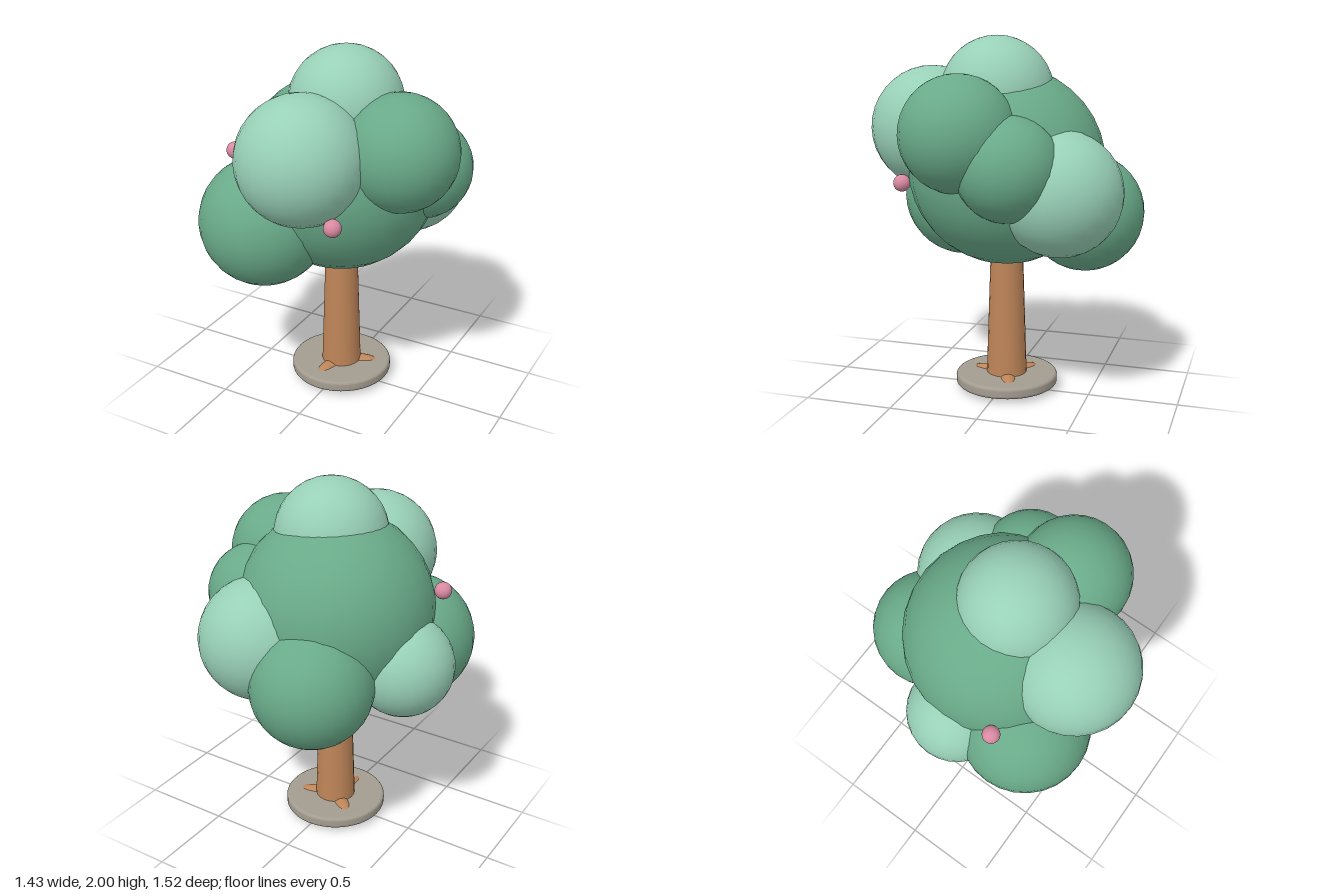
import * as THREE from 'three';

const mat = (name, color) => {
  const m = new THREE.MeshStandardMaterial({ color });
  m.name = name;
  return m;
};

export function createModel() {
  const tree = new THREE.Group();
  tree.name = 'tree';

  const green = mat('leafGreen', 0x69aa89);
  const mint = mat('mintGreen', 0x98d0b7);
  const bark = mat('barkBrown', 0xbe8558);
  const stone = mat('stoneGrey', 0xa39c90);
  const pink = mat('blossomPink', 0xd98aa2);

  const add = (name, geometry, material, x, y, z) => {
    const mesh = new THREE.Mesh(geometry, material);
    mesh.name = name;
    mesh.position.set(x, y, z);
    tree.add(mesh);
    return mesh;
  };
  const ball = (name, r, material, x, y, z) =>
    add(name, new THREE.SphereGeometry(r, 28, 18), material, x, y, z);

  // Trunk axis, slightly off the centre of the whole tree
  const cx = -0.01, cz = -0.015;

  // Round base with softened rims
  const rim = 0.018, R = 0.29, y0 = 0.025, y1 = 0.09;
  const profile = [new THREE.Vector2(0, y0)];
  for (let i = 0; i <= 4; i++) {
    const a = -Math.PI / 2 + (i / 4) * Math.PI / 2;
    profile.push(new THREE.Vector2(R - rim + rim * Math.cos(a), y0 + rim + rim * Math.sin(a)));
  }
  for (let i = 0; i <= 4; i++) {
    const a = (i / 4) * Math.PI / 2;
    profile.push(new THREE.Vector2(R - rim + rim * Math.cos(a), y1 - rim + rim * Math.sin(a)));
  }
  profile.push(new THREE.Vector2(0, y1));
  add('base', new THREE.LatheGeometry(profile, 40), stone, cx, 0, cz);

  // Tapered trunk
  add('trunk', new THREE.CylinderGeometry(0.088, 0.116, 0.85, 20), bark, cx, 0.475, cz);

  // Three flattened roots spreading through the base
  for (let i = 0; i < 3; i++) {
    const a = THREE.MathUtils.degToRad(-20 + i * 120);
    const root = ball('root', 1, bark, cx + 0.11 * Math.cos(a), 0.054, cz + 0.11 * Math.sin(a));
    root.scale.set(0.125, 0.054, 0.052);
    root.rotation.y = -a;
  }

  // Crown and its leaf clumps
  ball('crown', 0.545, green, cx, 1.29, cz);
  ball('topClump', 0.31, mint, 0.04, 1.69, 0.025);
  ball('frontClump', 0.343, mint, -0.01, 1.488, 0.417);
  ball('leftClump', 0.31, green, 0.405, 1.507, 0.125);
  ball('leftBackClump', 0.277, green, 0.41, 1.338, -0.145);
  ball('backLeftClump', 0.336, mint, 0.23, 1.193, -0.375);
  ball('backClump', 0.33, green, -0.13, 1.03, -0.433);
  ball('rightFrontClump', 0.357, green, -0.3, 1.06, 0.325);
  ball('rightClump', 0.278, mint, -0.44, 1.06, -0.02);

  // Blossoms
  ball('rightBlossom', 0.047, pink, -0.515, 1.405, 0.265);
  ball('frontBlossom', 0.047, pink, 0.225, 1.203, 0.515);

  return tree;
}
